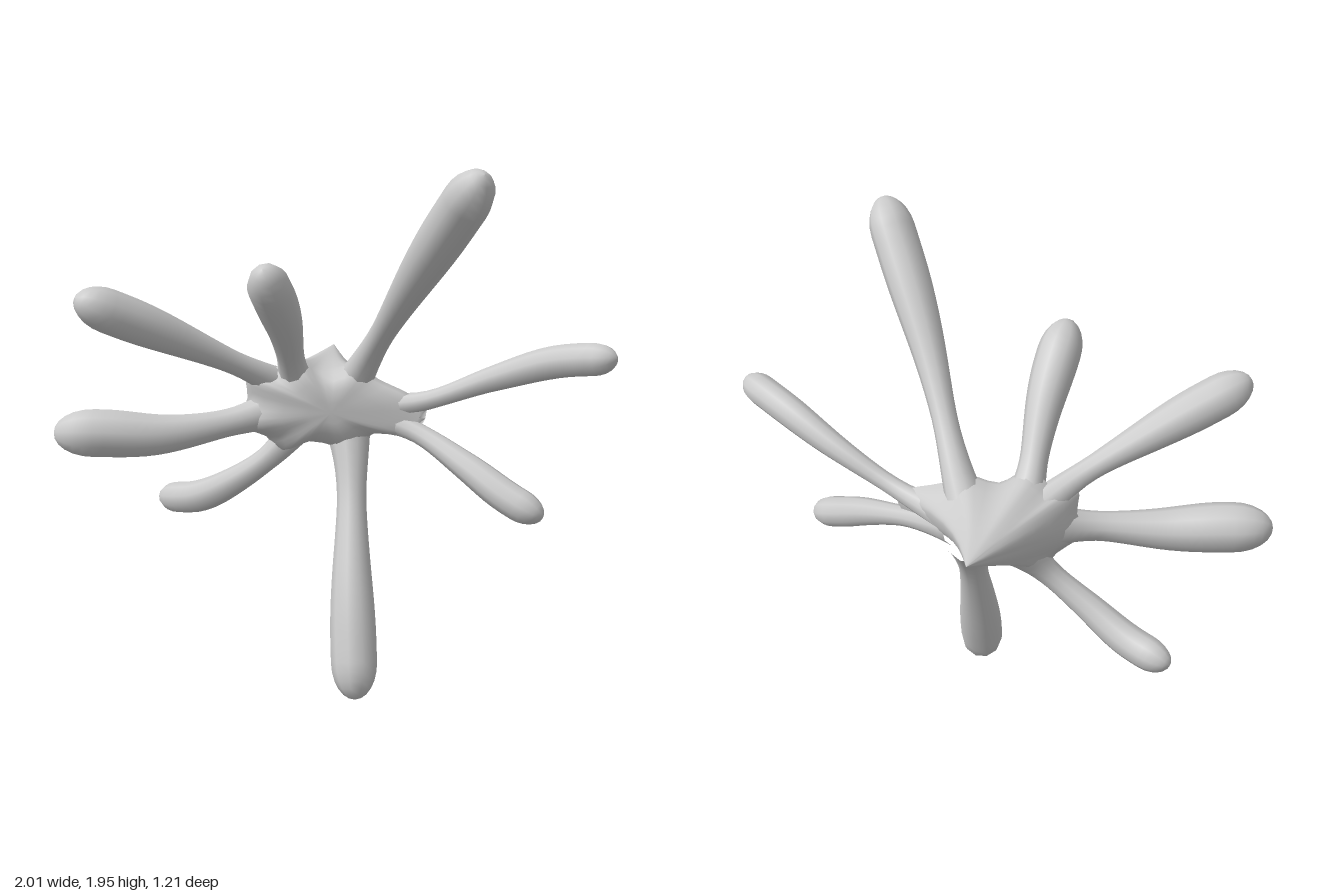
import * as THREE from 'three';

const V = (p) => new THREE.Vector3(...p);
const material = new THREE.MeshStandardMaterial({ color: 0xcccccc });

// Skin a list of closed rings (counter-clockwise around the direction of progress)
function loft(rings) {
  const n = rings[0].length, index = [];
  for (let i = 0; i < rings.length - 1; i++) {
    for (let j = 0; j < n; j++) {
      const k = (j + 1) % n;
      const a = i * n + j, b = i * n + k, c = a + n, d = b + n;
      index.push(a, b, c, b, d, c);
    }
  }
  const geometry = new THREE.BufferGeometry().setFromPoints(rings.flat());
  geometry.setIndex(index);
  geometry.computeVertexNormals();
  return geometry;
}

// Club-shaped arm: flared root buried in the body, thin neck, thick end and a tapered tip
function armGeometry(points, neck, club) {
  const curve = new THREE.CatmullRomCurve3(points.map(V));
  const length = curve.getLength(), steps = 26, sides = 10;
  const tipStart = 1 - club * 1.6 / length;
  const us = [];
  for (let i = 0; i <= steps - 6; i++) us.push(tipStart * i / (steps - 6));
  for (let i = 1; i <= 6; i++) us.push(tipStart + (1 - tipStart) * Math.sin(i / 6 * Math.PI / 2));
  const frames = curve.computeFrenetFrames(200, false);
  const rings = us.map((u) => {
    const f = Math.round(u * 200), centre = curve.getPointAt(Math.min(u, 1));
    let r = neck + (club - neck) * THREE.MathUtils.smoothstep(u, 0.25, 0.8);
    r += neck * 0.9 * Math.pow(Math.max(0, 1 - u / 0.35), 2);
    if (u > tipStart) {
      const s = Math.min(1, (u - tipStart) / (1 - tipStart));
      r *= Math.sqrt(Math.max(0, 1 - s * s));
    }
    return Array.from({ length: sides }, (_, j) => {
      const t = j / sides * Math.PI * 2;
      return centre.clone()
        .addScaledVector(frames.normals[f], Math.cos(t) * r)
        .addScaledVector(frames.binormals[f], Math.sin(t) * r);
    });
  });
  return loft(rings);
}

// Central body: irregular rim, drawn out through an oval to a sharp point at the back
function bodyGeometry() {
  const rim = new THREE.CatmullRomCurve3([
    [0.39, 1.02, -0.02], [0.34, 1.07, -0.04], [0.21, 1.13, -0.08], [0.14, 1.18, -0.1],
    [0, 1.15, -0.11], [-0.11, 1.21, -0.1], [-0.2, 1.15, -0.12], [-0.28, 1.14, -0.1],
    [-0.28, 1.05, -0.13], [-0.31, 0.95, -0.11], [-0.21, 0.89, -0.16], [-0.16, 0.83, -0.18],
    [-0.05, 0.87, -0.16], [0.11, 0.85, -0.12], [0.2, 0.91, -0.1], [0.34, 0.92, -0.03],
  ].map(V), true).getPoints(48).slice(0, -1);
  const apex = V([0.08, 1.16, -0.6]), front = V([0.03, 1.01, -0.03]);
  const oval = rim.map((p) => {
    const dx = p.x + 0.04, dy = p.y - 1;
    const s = 1 / Math.hypot(dx / 0.24, dy / 0.155);
    return new THREE.Vector3(dx * s - 0.04, dy * s + 1, p.z);
  });
  const rings = [0, 0.15, 0.3, 0.45, 0.6, 0.75, 0.88, 1].map((t) => rim.map((p, i) =>
    apex.clone().lerp(oval[i].clone().lerp(p, t * t), t)));
  for (const [scale, blend] of [[0.93, 0.35], [0.8, 0.7], [0.55, 0.95], [0.25, 1], [0, 1]]) {
    rings.push(rim.map((p) => {
      const q = front.clone().lerp(p, scale);
      q.z = THREE.MathUtils.lerp(p.z, front.z, blend);
      return q;
    }));
  }
  return loft(rings);
}

export function createModel() {
  const model = new THREE.Group();
  model.name = 'splash';
  const add = (name, geometry) => {
    const mesh = new THREE.Mesh(geometry, material);
    mesh.name = name;
    model.add(mesh);
  };
  add('body', bodyGeometry());

  // name, path from root to tip, neck radius, club radius
  const arms = [
    ['upperLeftArm', [[0.1, 1.04, -0.18], [0.16, 1.19, -0.07], [0.29, 1.53, 0.24], [0.475, 1.935, 0.585]], 0.045, 0.083],
    ['leftArm', [[0.16, 1.01, -0.15], [0.37, 1.05, -0.03], [0.62, 1.16, 0.08], [0.82, 1.245, 0.2], [1.0, 1.285, 0.345]], 0.034, 0.06],
    ['lowerLeftArm', [[0.16, 0.99, -0.15], [0.36, 0.93, -0.02], [0.52, 0.84, 0.12], [0.65, 0.755, 0.23], [0.77, 0.695, 0.31]], 0.038, 0.061],
    ['bottomArm', [[0.1, 0.97, -0.18], [0.11, 0.82, -0.08], [0.1, 0.4, 0.13], [0.1, 0, 0.3]], 0.054, 0.086],
    ['lowerRightArm', [[-0.06, 0.96, -0.2], [-0.18, 0.82, -0.18], [-0.33, 0.7, -0.22], [-0.48, 0.61, -0.3], [-0.635, 0.58, -0.4]], 0.045, 0.064],
    ['rightArm', [[-0.1, 1.02, -0.17], [-0.33, 0.97, -0.09], [-0.6, 0.935, -0.045], [-0.82, 0.945, -0.035], [-1, 0.95, -0.035]], 0.053, 0.093],
    ['upperRightArm', [[-0.1, 1.06, -0.18], [-0.27, 1.17, -0.08], [-0.55, 1.32, 0.02], [-0.88, 1.48, 0.13]], 0.042, 0.08],
    ['topArm', [[-0.08, 1.04, -0.18], [-0.11, 1.18, -0.08], [-0.15, 1.38, 0.1], [-0.225, 1.6, 0.31]], 0.05, 0.08],
  ];
  for (const [name, path, neck, club] of arms) add(name, armGeometry(path, neck, club));
  return model;
}
